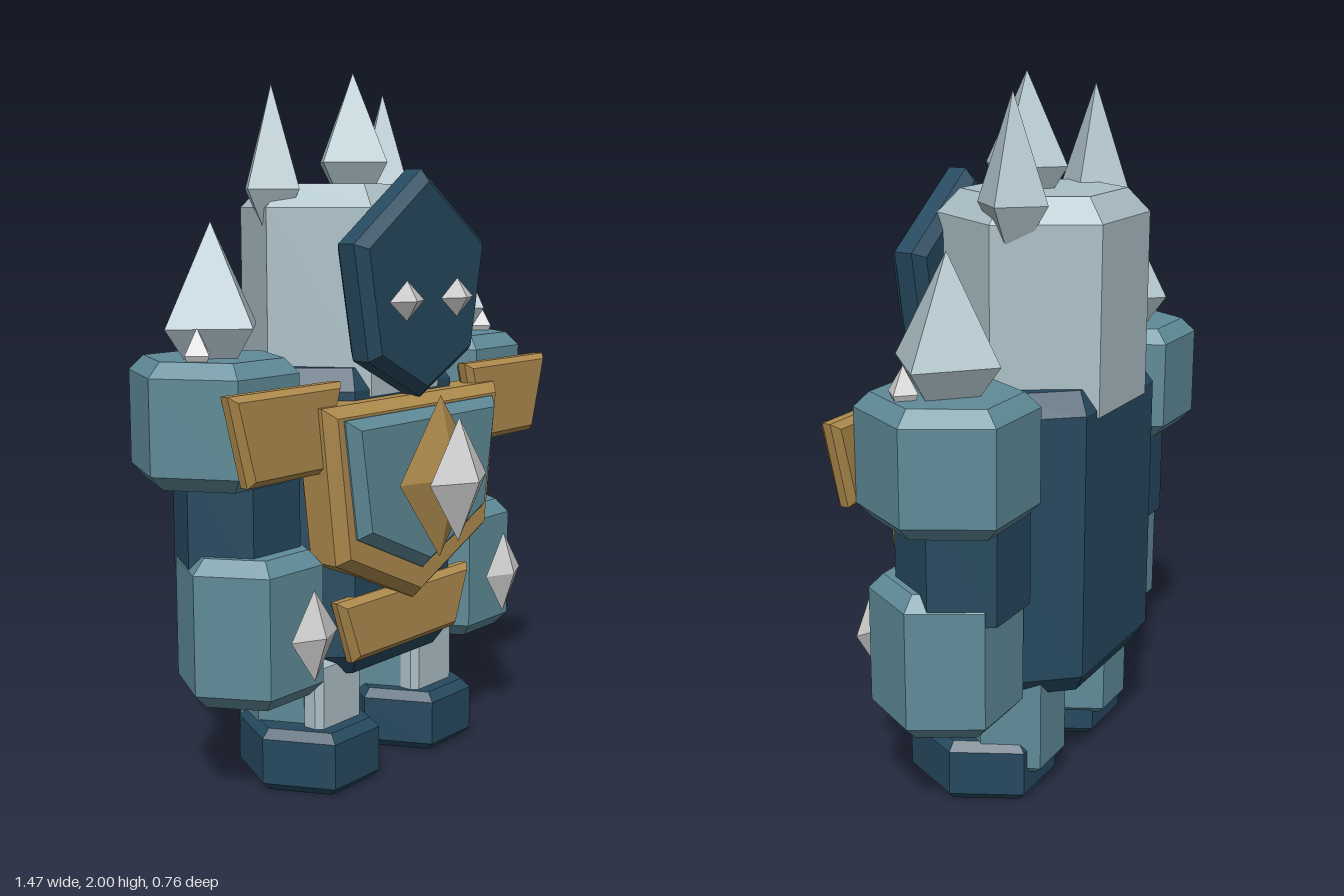
import * as THREE from 'three';

const mat = (name, color) => {
  const m = new THREE.MeshStandardMaterial({ color });
  m.name = name;
  m.flatShading = true;
  return m;
};

export function createModel() {
  const navy = mat('navy', 0x26495e);
  const teal = mat('teal', 0x5f8b98);
  const gold = mat('gold', 0xb08c4e);
  const stone = mat('pale stone', 0xacc0c7);
  const crystal = mat('crystal', 0xd0d0d0);

  const model = new THREE.Group();
  model.name = 'golem';

  const add = (name, geometry, material, x = 0, y = 0, z = 0) => {
    const mesh = new THREE.Mesh(geometry, material);
    mesh.name = name;
    mesh.position.set(x, y, z);
    model.add(mesh);
    return mesh;
  };

  // Lathed solid with few sides and corners on the x axis
  const turned = (points, sides, sx, sz) => {
    const g = new THREE.LatheGeometry(points.map(p => new THREE.Vector2(...p)), sides, Math.PI / 2);
    g.scale(sx, 1, sz);
    return g.toNonIndexed();
  };

  // Six-sided block with chamfered ends; rx is corner radius, hz the half depth
  const block = (name, m, x, z, y0, y1, rx, hz, bottom, top) => {
    const kb = 1 - bottom / rx, kt = 1 - top / rx;
    const pts = [[0, y0], [kb, y0]];
    if (bottom) pts.push([1, y0 + bottom]);
    pts.push([1, y1 - top]);
    if (top) pts.push([kt, y1]);
    pts.push([0, y1]);
    return add(name, turned(pts, 6, rx, hz / Math.cos(Math.PI / 6)), m, x, 0, z);
  };

  // Four-sided double pyramid
  const shard = (name, m, x, y, z, hx, up, down, hz) =>
    add(name, turned([[0, -down], [1, 0], [0, up]], 4, hx, hz), m, x, y, z);

  // Bevelled plate from an outline in x and y
  const plate = (name, m, outline, z0, z1, b) => {
    const shape = new THREE.Shape(outline.map(p => new THREE.Vector2(...p)));
    const g = new THREE.ExtrudeGeometry(shape, {
      depth: z1 - z0 - 2 * b, bevelEnabled: true, bevelSegments: 1,
      bevelSize: b, bevelThickness: b, bevelOffset: -b,
    });
    return add(name, g, m, 0, 0, z0 + b);
  };

  // Completes an outline from its right half, listed top to bottom
  const symmetric = half =>
    [...half, ...half.filter(p => p[0] !== 0).reverse().map(([x, y]) => [-x, y])];

  // Body and head
  block('torso', navy, 0, -0.13, 0.32, 1.19, 0.43, 0.245, 0.06, 0.06);
  block('head', stone, 0, -0.13, 1.11, 1.69, 0.3, 0.25, 0, 0.065);

  // Face
  plate('mask', navy, symmetric([[0, 1.73], [0.285, 1.53], [0.225, 1.215], [0, 1.1]]), 0.09, 0.2, 0.028);

  // Chest armour
  plate('chestPlate', gold, symmetric([[0.39, 1.105], [0.335, 0.67], [0, 0.515]]), 0.03, 0.18, 0.03);
  plate('chestInset', teal, symmetric([[0.335, 1.07], [0.285, 0.74], [0, 0.61]]), 0.15, 0.215, 0.03);
  shard('chestGemSetting', gold, 0, 0.88, 0.245, 0.18, 0.23, 0.23, 0.055);
  shard('chestGem', crystal, 0, 0.88, 0.31, 0.13, 0.175, 0.175, 0.07);
  plate('beltPlate', gold, symmetric([[0.3, 0.555], [0.235, 0.37]]), 0.08, 0.14, 0.02);

  // Crown
  shard('crownSpike', stone, 0, 1.75, -0.075, 0.127, 0.25, 0.19, 0.127);

  for (const s of [1, -1]) {
    const side = s > 0 ? 'left' : 'right';

    shard(side + 'Eye', crystal, s * 0.113, 1.375, 0.215, 0.075, 0.055, 0.055, 0.035);
    shard(side + 'CrownSpike', stone, s * 0.24, 1.675, -0.165, 0.095, 0.285, 0.17, 0.105);

    // Arm
    block(side + 'Shoulder', teal, s * 0.51, -0.128, 0.9, 1.235, 0.227, 0.208, 0.04, 0.04);
    block(side + 'UpperArm', navy, s * 0.435, -0.125, 0.63, 1.0, 0.18, 0.155, 0, 0);
    block(side + 'Forearm', teal, s * 0.44, -0.075, 0.3, 0.71, 0.206, 0.18, 0.04, 0.04);
    shard(side + 'ForearmGem', crystal, s * 0.435, 0.505, 0.163, 0.09, 0.125, 0.125, 0.042);
    shard(side + 'ShoulderSpike', stone, s * 0.51, 1.315, -0.13, 0.167, 0.275, 0.21, 0.155);
    shard(side + 'SmallShoulderSpike', crystal, s * 0.62, 1.25, -0.07, 0.045, 0.07, 0.08, 0.045);

    // Shoulder guard, with the outline kept counter-clockwise on both sides
    const guard = [[0.28, 1.165], [0.35, 0.925], [0.635, 0.925], [0.7, 1.165]].map(([x, y]) => [s * x, y]);
    plate(side + 'ShoulderGuard', gold, s > 0 ? guard : guard.reverse(), 0.078, 0.138, 0.018);

    // Leg
    block(side + 'Leg', teal, s * 0.205, -0.13, 0.08, 0.4, 0.15, 0.15, 0.02, 0.02);
    const shin = [[0.12, 0.1], [0.31, 0.1], [0.31, 0.375], [0.12, 0.375]].map(([x, y]) => [s * x, y]);
    plate(side + 'ShinGuard', stone, s > 0 ? shin : shin.reverse(), -0.01, 0.065, 0.018);
    block(side + 'Foot', navy, s * 0.22, -0.06, 0, 0.18, 0.19, 0.187, 0.025, 0.025);
  }

  return model;
}
